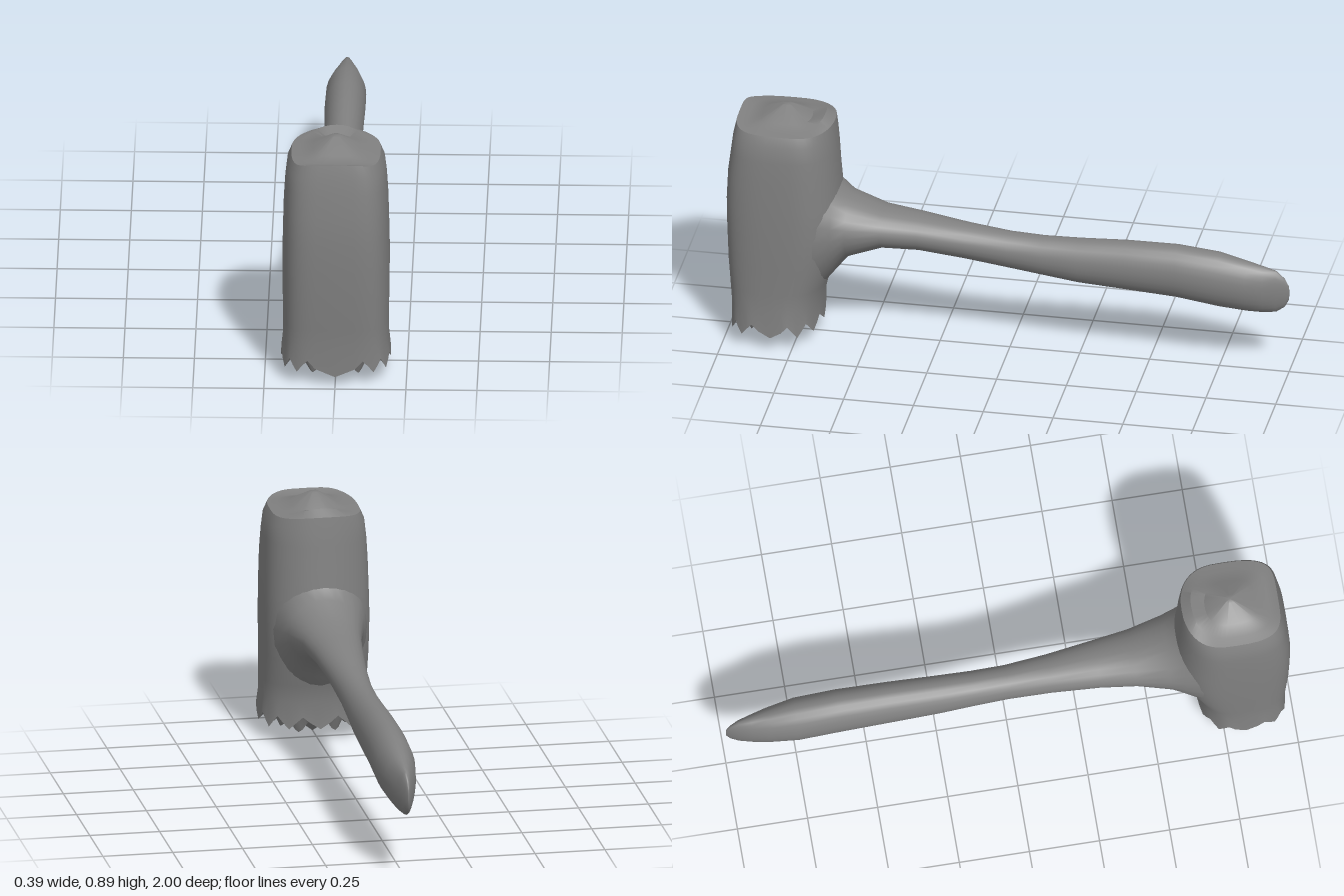
import * as THREE from 'three';
import { toCreasedNormals } from 'three/addons/utils/BufferGeometryUtils.js';

const material = new THREE.MeshStandardMaterial({ color: 0x808080 });

// Skin a list of closed rings, each an array of [x, y, z]
function loft(rings) {
  const n = rings[0].length, index = [];
  for (let i = 0; i < rings.length - 1; i++) {
    for (let j = 0; j < n; j++) {
      const k = (j + 1) % n;
      const a = i * n + j, b = i * n + k, c = a + n, d = b + n;
      index.push(a, b, c, b, d, c);
    }
  }
  const geometry = new THREE.BufferGeometry();
  geometry.setAttribute('position', new THREE.Float32BufferAttribute(rings.flat(2), 3));
  geometry.setIndex(index);
  geometry.computeVertexNormals();
  return geometry;
}

const spow = (v, p) => Math.sign(v) * Math.abs(v) ** p;

// Head section, squarish in front and rounder behind;
// yAt(tooth 0..1, angle) sets the height around it
const SIDES = 48;
function headRing(halfWidth, zFront, zBack, yAt, scale = 1) {
  const mid = (zFront + zBack) / 2, depth = (zFront - zBack) / 2;
  return Array.from({ length: SIDES }, (_, j) => {
    const t = (j / SIDES) * Math.PI * 2;
    const p = 0.67 - 0.17 * Math.cos(t);
    const tooth = 1 - Math.abs((j + 2) % 4 - 2) / 2;
    return [
      spow(Math.sin(t), p) * halfWidth * scale,
      yAt(tooth, t),
      mid + spow(Math.cos(t), p) * depth * scale,
    ];
  });
}

function makeHead() {
  const rings = [];
  // Broken underside: centre spike, six inner spikes, recess, outer teeth
  const under = [
    [0, () => 0.003], [0.38, () => 0.06],
    [0.6, (k, t) => 0.056 + 0.03 * Math.cos(6 * t)], [0.8, () => 0.11],
    [1, (k, t) => 0.1 - 0.045 * k - (Math.cos(t) > 0.99 ? 0.015 * k : 0)],
  ];
  for (const [s, y] of under) rings.push(headRing(0.194, 0.98, 0.665, y, s));
  // Body: y, half width, front z, back z
  const body = [
    [0.155, 0.186, 0.98, 0.665], [0.22, 0.186, 0.985, 0.65], [0.32, 0.188, 0.993, 0.615],
    [0.45, 0.189, 0.998, 0.595], [0.55, 0.187, 1, 0.6], [0.66, 0.184, 0.995, 0.61],
    [0.74, 0.179, 0.985, 0.615], [0.8, 0.172, 0.978, 0.62],
  ];
  for (const [y, w, f, b] of body) rings.push(headRing(w, f, b, () => y));
  // Uneven top: raised front edge, hump at the back, central peak
  const front = (t) => Math.max(0, Math.cos(t)) ** 4;
  const back = (t) => Math.max(0, -Math.cos(t)) ** 4;
  const top = [
    [1, (k, t) => 0.835 + 0.017 * front(t) + 0.012 * back(t)],
    [0.8, (k, t) => 0.84 + 0.03 * back(t)],
    [0.52, () => 0.85], [0.1, () => 0.892], [0, () => 0.893],
  ];
  for (const [s, y] of top) rings.push(headRing(0.157, 0.967, 0.625, y, s));
  return toCreasedNormals(loft(rings), 0.7);
}

function makeHandle() {
  // z, half width, top y, bottom y; the first sections flare into the head
  const sections = [
    [0.8, 0.186, 0.74, 0.1], [0.74, 0.181, 0.72, 0.13], [0.68, 0.169, 0.68, 0.18],
    [0.62, 0.15, 0.61, 0.26], [0.57, 0.134, 0.56, 0.325],
    [0.45, 0.105, 0.515, 0.37], [0.32, 0.087, 0.5, 0.37], [0.15, 0.069, 0.475, 0.348],
    [0, 0.06, 0.458, 0.325], [-0.12, 0.061, 0.453, 0.308], [-0.25, 0.065, 0.456, 0.29],
    [-0.42, 0.069, 0.464, 0.279], [-0.6, 0.072, 0.465, 0.267], [-0.75, 0.071, 0.45, 0.245],
    [-0.85, 0.055, 0.425, 0.235], [-0.91, 0.04, 0.41, 0.233], [-0.955, 0.025, 0.398, 0.238],
    [-0.985, 0.012, 0.37, 0.26], [-1, 0.003, 0.34, 0.29], [-1, 0, 0.315, 0.315],
  ];
  const sides = 24;
  return loft(sections.map(([z, w, hi, lo]) =>
    Array.from({ length: sides }, (_, j) => {
      const t = (j / sides) * Math.PI * 2;
      return [Math.sin(t) * w, (hi + lo) / 2 + Math.cos(t) * (hi - lo) / 2, z];
    })));
}

export function createModel() {
  const group = new THREE.Group();
  group.name = 'hammer';
  for (const [name, geometry] of [['head', makeHead()], ['handle', makeHandle()]]) {
    const mesh = new THREE.Mesh(geometry, material);
    mesh.name = name;
    group.add(mesh);
  }
  return group;
}
